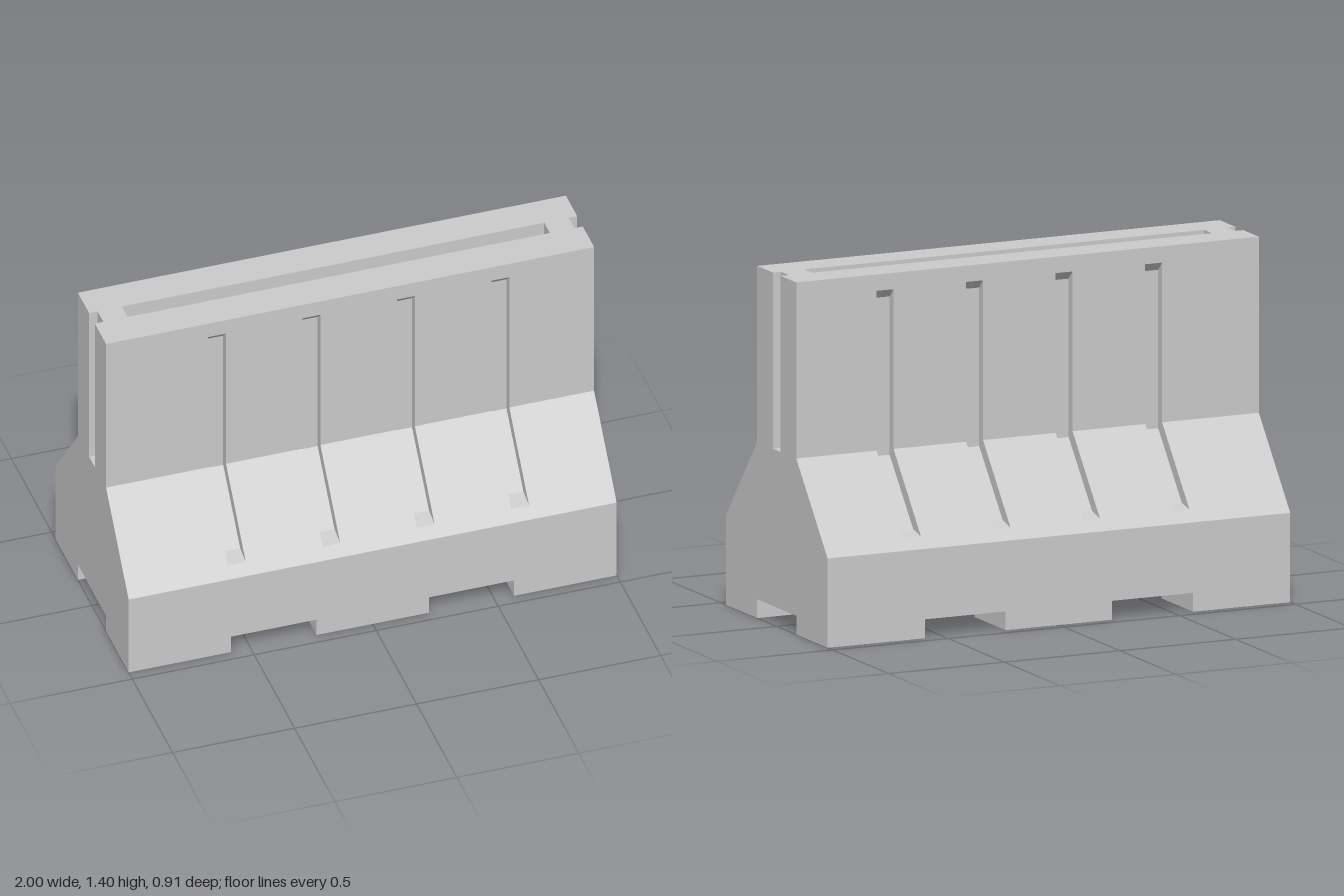
import * as THREE from 'three';
import { mergeGeometries } from 'three/addons/utils/BufferGeometryUtils.js';

const V = (x, y, z) => new THREE.Vector3(x, y, z);
const material = new THREE.MeshStandardMaterial({ color: 0xcccccc });

// Flat polygon through 3D corners, facing the side they run counterclockwise on
function face(points, hole) {
  const n = V(0, 0, 0);
  points.forEach((p, i) => n.add(p.clone().cross(points[(i + 1) % points.length])));
  n.normalize();
  const u = points[1].clone().sub(points[0]).normalize();
  const v = n.clone().cross(u);
  const flat = list => list.map(p => {
    const d = p.clone().sub(points[0]);
    return new THREE.Vector2(d.dot(u), d.dot(v));
  });
  const shape = new THREE.Shape(flat(points));
  if (hole) shape.holes.push(new THREE.Path(flat(hole)));
  const basis = new THREE.Matrix4().makeBasis(u, v, n).setPosition(points[0]);
  return new THREE.ShapeGeometry(shape).applyMatrix4(basis);
}

// Quads swept from an open line of points along an offset
function walls(points, offset) {
  return points.slice(1).map((b, i) => {
    const a = points[i];
    return face([a, b, b.clone().add(offset), a.clone().add(offset)]);
  });
}

function part(name, geometries) {
  const mesh = new THREE.Mesh(mergeGeometries(geometries), material);
  mesh.name = name;
  return mesh;
}

// Main sizes
const BASE = 0.455, WALL = 0.175, SHOULDER = 0.355, NECK = 0.70, TOP = 1.40;
const FOOT = 0.075, SLOT = 0.035, SLOT_X = 0.865, SLOT_DEPTH = 0.07, END_X = 0.965;
const feet = [[-1, -0.58], [-0.23, 0.23], [0.58, 1]];
const GROOVE_TOP = 1.335, GROOVE_END_Y = 0.398, GROOVE_END_Z = 0.42, GROOVE_W = 0.073;
const grooveCentres = [0, 1, 2, 3].map(i => -0.545 + i * 0.387);

// Front side with grooves, one end and one row of feet
function buildHalf(centres) {
  const half = new THREE.Group();
  const grooves = centres.map(c => [c - GROOVE_W / 2, c + GROOVE_W / 2]).sort((a, b) => a[0] - b[0]);

  half.add(part('upperWall', [face([
    V(-1, NECK, WALL),
    ...grooves.flatMap(([a, b]) => [V(a, NECK, WALL), V(a, GROOVE_TOP, WALL), V(b, GROOVE_TOP, WALL), V(b, NECK, WALL)]),
    V(1, NECK, WALL), V(1, TOP, WALL), V(-1, TOP, WALL)])]));

  half.add(part('slopedShoulder', [face([
    V(-1, SHOULDER, BASE), V(1, SHOULDER, BASE), V(1, NECK, WALL),
    ...[...grooves].reverse().flatMap(([a, b]) => [V(b, NECK, WALL), V(b, GROOVE_END_Y, GROOVE_END_Z),
      V(a, GROOVE_END_Y, GROOVE_END_Z), V(a, NECK, WALL)]),
    V(-1, NECK, WALL)])]));

  half.add(part('baseSide', [face([
    ...feet.flatMap(([a, b]) => [V(a, a > -1 ? FOOT : 0, BASE), V(a, 0, BASE), V(b, 0, BASE), V(b, b < 1 ? FOOT : 0, BASE)])
      .filter((p, i, all) => !i || !p.equals(all[i - 1])),
    V(1, SHOULDER, BASE), V(-1, SHOULDER, BASE)])]));

  // Recessed grooves bending from the wall onto the slope
  for (const [a, b] of grooves) {
    const line = x => [V(x, GROOVE_TOP, WALL), V(x, 1.30, 0.14), V(x, 0.67, 0.14),
      V(x, 0.415, 0.35), V(x, GROOVE_END_Y, GROOVE_END_Z)];
    half.add(part('groove', [
      ...walls(line(a), V(b - a, 0, 0)),
      face([...line(b), V(b, NECK, WALL)]),
      face([...line(a), V(a, NECK, WALL)].reverse())]));
  }

  // End face with its upright slot
  const slotLine = x => [V(x, TOP, -SLOT), V(x, NECK, -SLOT), V(x, NECK, SLOT), V(x, TOP, SLOT)];
  half.add(part('endFace', [face([
    V(1, 0, -BASE), V(1, SHOULDER, -BASE), V(1, NECK, -WALL), V(1, TOP, -WALL),
    ...slotLine(1),
    V(1, TOP, WALL), V(1, NECK, WALL), V(1, SHOULDER, BASE), V(1, 0, BASE),
    V(1, 0, WALL), V(1, FOOT, WALL), V(1, FOOT, -WALL), V(1, 0, -WALL)])]));
  half.add(part('endSlot', [
    ...walls(slotLine(END_X), V(1 - END_X, 0, 0)),
    face(slotLine(END_X).reverse())]));

  // Foot soles and the faces lining the channels
  const edge = footEdge();
  const drop = V(0, -FOOT, 0);
  half.add(part('feet', [
    ...feet.map(([a, b]) => face([V(a, 0, WALL), V(b, 0, WALL), V(b, 0, BASE), V(a, 0, BASE)])),
    ...[edge.slice(0, 3), edge.slice(3, 7), edge.slice(7)].flatMap(run => walls(run, drop))]));
  return half;
}

// Outline of the underside along one row of feet
function footEdge() {
  return feet.flatMap(([a, b]) => [
    ...(a > -1 ? [V(a, FOOT, BASE)] : []),
    V(a, FOOT, WALL), V(b, FOOT, WALL),
    ...(b < 1 ? [V(b, FOOT, BASE)] : [])]);
}

export function createModel() {
  const model = new THREE.Group();
  model.name = 'roadBarrier';

  const front = buildHalf(grooveCentres);
  front.name = 'frontHalf';
  const back = buildHalf(grooveCentres.map(x => -x));
  back.name = 'backHalf';
  back.rotation.y = Math.PI;
  model.add(front, back);

  // Top face, notched at both ends, with a long slot
  const turn = p => V(-p.x, p.y, -p.z);
  const topEdge = [V(-1, TOP, WALL), V(1, TOP, WALL), V(1, TOP, SLOT),
    V(END_X, TOP, SLOT), V(END_X, TOP, -SLOT), V(1, TOP, -SLOT)];
  const slotLoop = y => [V(SLOT_X, y, SLOT), V(-SLOT_X, y, SLOT), V(-SLOT_X, y, -SLOT), V(SLOT_X, y, -SLOT)];
  model.add(part('topFace', [face([...topEdge, ...topEdge.map(turn)], slotLoop(TOP))]));

  const floor = slotLoop(TOP - SLOT_DEPTH);
  model.add(part('topSlot', [
    ...walls([...floor, floor[0]], V(0, SLOT_DEPTH, 0)),
    face([...floor].reverse())]));

  // Raised underside between the feet
  const edge = footEdge();
  model.add(part('underside', [face([...edge, ...edge.map(turn)].reverse())]));
  return model;
}
